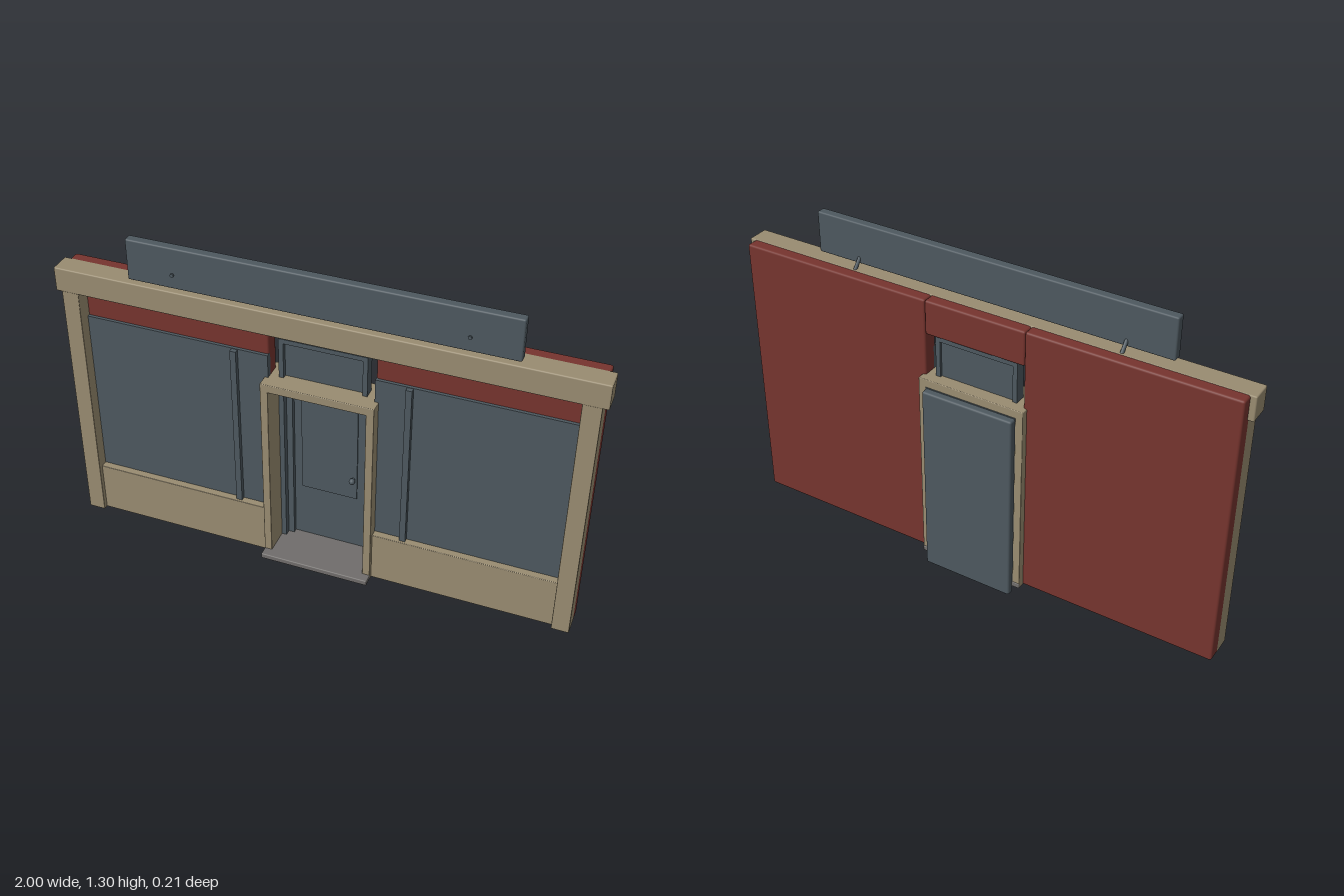
import * as THREE from 'three';
import { RoundedBoxGeometry } from 'three/addons/geometries/RoundedBoxGeometry.js';

export function createModel() {
  const root = new THREE.Group();
  root.name = 'shopFront';
  const mat = (name, color) => {
    const m = new THREE.MeshStandardMaterial({ color });
    m.name = name;
    return m;
  };
  const stone = mat('tan stone', 0x998c71);
  const brick = mat('brick red', 0x76342e);
  const slate = mat('slate blue', 0x4d585f);
  const grey = mat('step grey', 0x706d6b);

  const add = (name, geometry, material) => {
    const mesh = new THREE.Mesh(geometry, material);
    mesh.name = name;
    root.add(mesh);
    return mesh;
  };
  // Box given by its limits on each axis; bevel softens the edges
  const box = (name, material, [x0, x1], [y0, y1], [z0, z1], bevel = 0) => {
    const size = [x1 - x0, y1 - y0, z1 - z0];
    const g = bevel ? new RoundedBoxGeometry(...size, 2, bevel) : new THREE.BoxGeometry(...size);
    const mesh = add(name, g, material);
    mesh.position.set((x0 + x1) / 2, (y0 + y1) / 2, (z0 + z1) / 2);
    return mesh;
  };
  // Same box on both sides of the centre
  const pair = (name, material, [x0, x1], y, z, bevel) => {
    box(name + 'Left', material, [x0, x1], y, z, bevel);
    box(name + 'Right', material, [-x1, -x0], y, z, bevel);
  };

  // Brick backing wall with a gap for the doorway
  pair('wall', brick, [0.2, 0.978], [0.03, 1.125], [-0.052, 0.012], 0.008);
  box('wallLintel', brick, [-0.2, 0.2], [0.99, 1.125], [-0.052, 0.012], 0.008);

  // Stone surround
  box('cornice', stone, [-1, 1], [1.032, 1.127], [-0.01, 0.073], 0.005);
  pair('pilaster', stone, [0.912, 0.978], [0.03, 1.035], [-0.004, 0.071], 0.003);
  pair('stallRiser', stone, [0.2, 0.915], [0.03, 0.237], [0, 0.052], 0.003);

  // Shop windows
  pair('window', slate, [0.2, 0.912], [0.235, 0.915], [0, 0.024]);
  pair('mullion', slate, [0.315, 0.338], [0.235, 0.913], [0.01, 0.042]);

  // Door surround
  pair('doorSurround', stone, [0.184, 0.214], [0.03, 0.822], [-0.08, 0.07], 0.003);
  box('doorSurroundTop', stone, [-0.214, 0.214], [0.79, 0.823], [-0.08, 0.07], 0.003);

  // Door, with its frame, raised panel and knob
  box('door', slate, [-0.184, 0.184], [0, 0.787], [-0.107, -0.073], 0.008);
  pair('doorJamb', slate, [0.165, 0.185], [0.04, 0.79], [-0.08, -0.03]);
  pair('doorStile', slate, [0.142, 0.166], [0.04, 0.768], [-0.08, -0.055]);
  box('doorHead', slate, [-0.185, 0.185], [0.767, 0.79], [-0.08, -0.03]);
  box('doorPanel', slate, [-0.112, 0.108], [0.285, 0.713], [-0.075, -0.068]);
  const knob = add('doorKnob', new THREE.SphereGeometry(0.012, 16, 10), slate);
  knob.position.set(0.094, 0.378, -0.052);
  const spindle = add('knobSpindle', new THREE.CylinderGeometry(0.006, 0.006, 0.025, 12), slate);
  spindle.rotation.x = Math.PI / 2;
  spindle.position.set(0.094, 0.378, -0.064);

  // Transom light above the door
  box('transomPane', slate, [-0.15, 0.15], [0.822, 0.968], [-0.028, -0.012]);
  pair('transomPost', slate, [0.148, 0.166], [0.822, 0.985], [-0.038, 0.006]);
  box('transomHead', slate, [-0.166, 0.166], [0.967, 0.985], [-0.038, 0.006]);

  // Doorstep
  box('doorstep', grey, [-0.214, 0.214], [0.03, 0.052], [-0.083, 0.107], 0.004);

  // Sign board with slanted brackets and bolts
  box('signBoard', slate, [-0.705, 0.705], [1.137, 1.296], [0.028, 0.064], 0.006);
  for (const x of [-0.53, 0.53]) {
    const bracket = add('signBracket', new THREE.CylinderGeometry(0.007, 0.007, 0.075, 10), slate);
    bracket.position.set(x, 1.143, 0.018);
    bracket.rotation.x = 0.72;
    const bolt = add('signBolt', new THREE.CylinderGeometry(0.007, 0.007, 0.01, 10), slate);
    bolt.position.set(x, 1.192, 0.065);
    bolt.rotation.x = Math.PI / 2;
  }
  return root;
}
